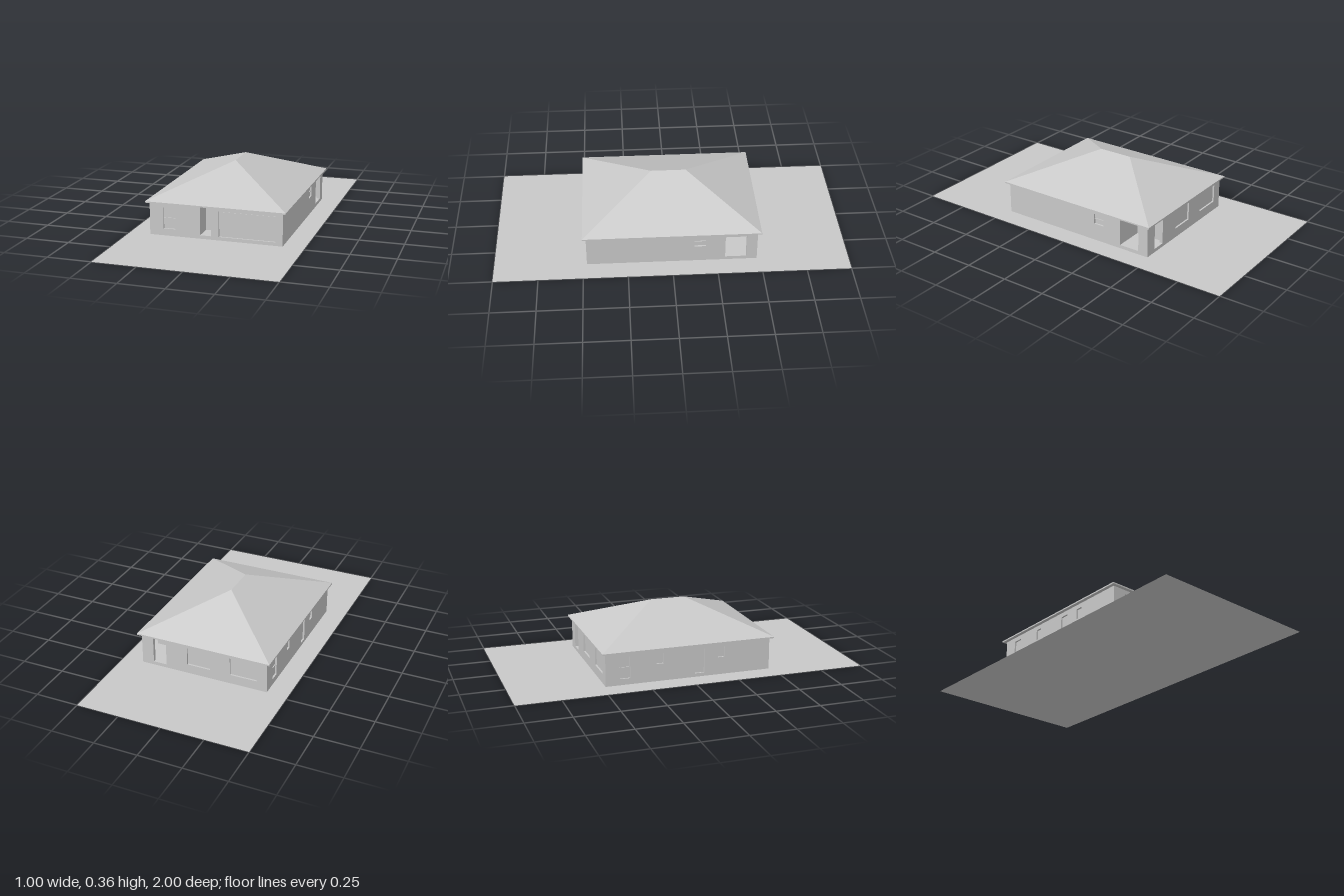
import * as THREE from 'three';

const HX = 0.38, HZ = 0.48;   // half size of the house
const FLOOR = 0.02, TOP = 0.186, T = 0.02;

const plaster = new THREE.MeshStandardMaterial({ color: 0xc8c8c8, side: THREE.DoubleSide });
plaster.name = 'pale grey';

function add(parent, name, geometry, x = 0, y = 0, z = 0) {
  const mesh = new THREE.Mesh(geometry, plaster);
  mesh.name = name;
  mesh.position.set(x, y, z);
  parent.add(mesh);
  return mesh;
}

// Box given by its minimum and maximum corners
function span(parent, name, x0, x1, y0, y1, z0, z1) {
  return add(parent, name, new THREE.BoxGeometry(x1 - x0, y1 - y0, z1 - z0),
    (x0 + x1) / 2, (y0 + y1) / 2, (z0 + z1) / 2);
}

// Wall with openings: [kind, u0, u1, y0, y1]; u runs to the right seen from outside
function wall(name, halfWidth, distance, angle, openings) {
  const group = new THREE.Group();
  group.name = name;
  group.rotation.y = angle;
  const shape = new THREE.Shape();
  shape.moveTo(-halfWidth, 0).lineTo(halfWidth, 0).lineTo(halfWidth, TOP).lineTo(-halfWidth, TOP);
  for (const [kind, u0, u1, y0, y1] of openings) {
    const hole = new THREE.Path();
    hole.moveTo(u0, y0).lineTo(u0, y1).lineTo(u1, y1).lineTo(u1, y0);
    shape.holes.push(hole);
    if (kind === 'opening') continue;
    // Recessed leaf; the garage door stops just short of its lintel
    const head = kind === 'garageDoor' ? y1 - 0.004 : y1;
    span(group, kind, u0, u1, y0, head, distance - 0.018, distance - 0.01);
    if (kind === 'splitWindow') {
      const mid = (y0 + y1) / 2;
      span(group, 'windowRail', u0, u1, mid - 0.002, mid + 0.002, distance - 0.012, distance - 0.005);
    }
  }
  const geometry = new THREE.ExtrudeGeometry(shape, { depth: T, bevelEnabled: false });
  add(group, name + 'Panel', geometry, 0, 0, distance - T);
  return group;
}

// Hipped roof: four slopes over a rectangle, meeting in a ridge along z
function hipGeometry(hx, hz, ridge, y0, y1) {
  const a = [-hx, y0, hz], b = [hx, y0, hz], c = [hx, y0, -hz], d = [-hx, y0, -hz];
  const f = [0, y1, ridge], r = [0, y1, -ridge];
  const triangles = [a, b, f, b, c, r, b, r, f, c, d, r, d, a, f, d, f, r];
  const geometry = new THREE.BufferGeometry();
  geometry.setAttribute('position', new THREE.Float32BufferAttribute(triangles.flat(), 3));
  geometry.computeVertexNormals();
  return geometry;
}

export function createModel() {
  const model = new THREE.Group();
  model.name = 'house';

  // Plot of land and floor slab
  add(model, 'ground', new THREE.PlaneGeometry(1, 2).rotateX(-Math.PI / 2));
  span(model, 'floorSlab', -HX + T, HX - T, 0.001, FLOOR, -HZ + T, HZ - T);

  // Outer walls
  model.add(
    wall('frontWall', HX, HZ, 0, [
      ['splitWindow', -0.3, -0.23, 0.04, 0.16],
      ['opening', -0.087, -0.025, FLOOR, 0.183],
      ['garageDoor', 0.02, 0.34, FLOOR, 0.164],
    ]),
    wall('backWall', HX, HZ, Math.PI, [
      ['opening', -0.31, -0.23, FLOOR, 0.183],
      ['window', -0.1, 0.04, 0.055, 0.16],
      ['window', 0.16, 0.32, 0.055, 0.16],
    ]),
    wall('leftWall', HZ - T, HX, Math.PI / 2, [
      ['splitWindow', 0.125, 0.19, 0.1, 0.16],
      ['opening', 0.3, 0.42, FLOOR, 0.183],
    ]),
    wall('rightWall', HZ - T, HX, -Math.PI / 2, [
      ['splitWindow', -0.4, -0.34, 0.035, 0.16],
      ['window', -0.19, -0.15, 0.1, 0.16],
      ['door', 0.035, 0.09, FLOOR, 0.16],
      ['window', 0.17, 0.21, 0.1, 0.16],
    ]),
  );

  // Entrance recess with the door at its end
  for (const x of [-0.097, -0.025]) span(model, 'entranceSide', x, x + 0.01, FLOOR, TOP, 0.37, HZ - T);
  span(model, 'entranceBack', -0.097, -0.015, FLOOR, TOP, 0.36, 0.37);
  span(model, 'frontDoor', -0.087, -0.025, FLOOR, 0.155, 0.37, 0.378);

  // Covered porch in the back corner
  span(model, 'porchSide', 0.2, 0.21, FLOOR, TOP, -HZ + T, -0.29);
  span(model, 'porchInnerWall', 0.21, HX - T, FLOOR, TOP, -0.3, -0.29);

  // Eaves and roof
  span(model, 'eaves', -0.4, 0.4, 0.185, 0.193, -0.5, 0.5);
  add(model, 'roof', hipGeometry(0.4, 0.5, 0.1, 0.193, 0.36));

  return model;
}
